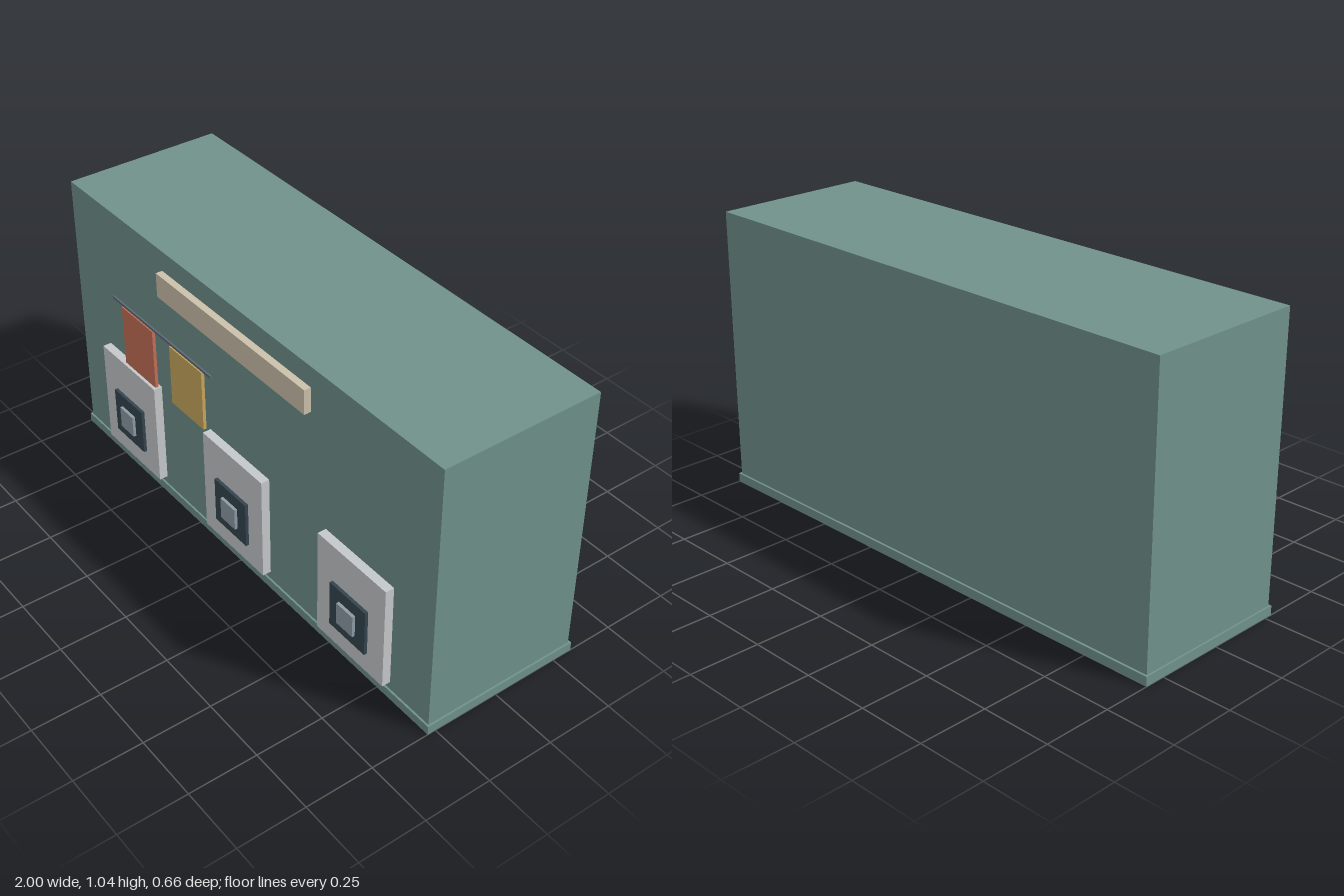
import * as THREE from 'three';

const material = (name, color) => {
  const m = new THREE.MeshStandardMaterial({ color });
  m.name = name;
  return m;
};

export function createModel() {
  const group = new THREE.Group();
  group.name = 'laundryWall';

  const teal = material('teal', 0x6f918a);
  const enamel = material('pale grey enamel', 0xc5c8ca);
  const navy = material('dark slate', 0x34444f);
  const glass = material('blue grey glass', 0x8d9ba6);
  const cream = material('cream', 0xcbc0ab);
  const red = material('terracotta', 0xc56f58);
  const ochre = material('ochre', 0xc9a85c);
  const steel = material('rail grey', 0x5f6b78);

  // Box given by its minimum and maximum on each axis
  const box = (name, mat, [x0, x1], [y0, y1], [z0, z1], parent = group) => {
    const mesh = new THREE.Mesh(new THREE.BoxGeometry(x1 - x0, y1 - y0, z1 - z0), mat);
    mesh.position.set((x0 + x1) / 2, (y0 + y1) / 2, (z0 + z1) / 2);
    mesh.name = name;
    parent.add(mesh);
  };

  // Block and plinth
  box('body', teal, [-0.993, 0.993], [0.033, 1.044], [-0.319, 0.274]);
  box('plinth', teal, [-1, 1], [0, 0.034], [-0.327, 0.281]);

  // Sign board, standing slightly off the wall
  box('signBoard', cream, [-0.403, 0.403], [0.889, 0.98], [0.284, 0.309]);

  // Hanging rail with two cloths
  box('hangingRail', steel, [-0.68, -0.088], [0.742, 0.752], [0.314, 0.32]);
  box('redCloth', red, [-0.628, -0.437], [0.5, 0.733], [0.306, 0.318]);
  box('yellowCloth', ochre, [-0.333, -0.143], [0.5, 0.733], [0.306, 0.318]);

  // Three machines, each with a door and a window
  for (const x of [-0.637, 0, 0.637]) {
    const machine = new THREE.Group();
    machine.name = 'machine';
    machine.position.x = x;
    group.add(machine);
    box('machineFront', enamel, [-0.168, 0.168], [0.065, 0.467], [0.27, 0.306], machine);
    box('machineDoor', navy, [-0.089, 0.089], [0.147, 0.324], [0.306, 0.318], machine);
    box('doorWindow', glass, [-0.041, 0.041], [0.193, 0.277], [0.318, 0.329], machine);
  }

  return group;
}
